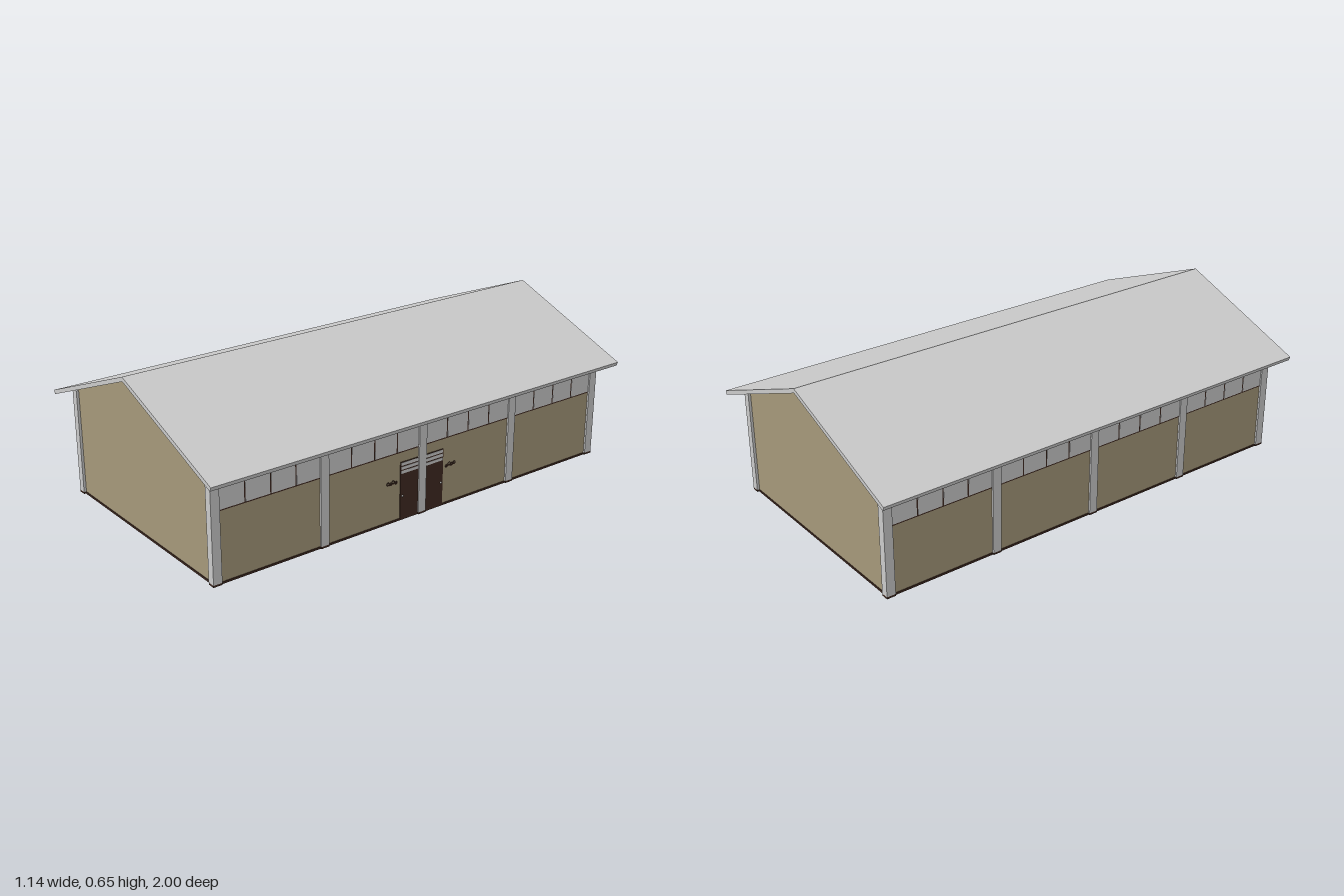
import * as THREE from 'three';

const mat = (name, color) => {
  const m = new THREE.MeshStandardMaterial({ color });
  m.name = name;
  return m;
};

export function createModel() {
  const model = new THREE.Group();
  model.name = 'hall';
  const wall = mat('tan wall', 0xa5987a);
  const grey = mat('light grey', 0xcbcbcb);
  const dark = mat('dark brown', 0x402a21);

  const add = (name, geo, material, x, y, z, parent = model) => {
    const mesh = new THREE.Mesh(geo, material);
    mesh.name = name;
    mesh.position.set(x, y, z);
    parent.add(mesh);
    return mesh;
  };
  // Box given by its centre in x and z, and its bottom and top in y
  const box = (name, material, x, z, y0, y1, w, d, parent) =>
    add(name, new THREE.BoxGeometry(w, y1 - y0, d), material, x, (y0 + y1) / 2, z, parent);
  // Outline in x and y, extruded along z about a centre
  const slab = (name, material, points, z, depth) => {
    const shape = new THREE.Shape(points.map(([x, y]) => new THREE.Vector2(x, y)));
    const geo = new THREE.ExtrudeGeometry(shape, { depth, bevelEnabled: false });
    return add(name, geo, material, 0, 0, z - depth / 2);
  };

  const wallX = 0.48, endZ = 0.939, base = 0.008, thick = 0.016;

  // Pitched roof with overhanging eaves
  slab('roof', grey, [
    [0, 0.648], [-0.572, 0.425], [-0.566, 0.409], [0, 0.63], [0.566, 0.409], [0.572, 0.425],
  ], 0, 2);

  // Gable walls and their base beams
  for (const s of [-1, 1]) {
    slab('gableWall', wall, [
      [-0.475, base], [0.475, base], [0.475, 0.446], [0, 0.632], [-0.475, 0.446],
    ], s * endZ, thick);
    box('baseBeam', dark, 0, s * endZ, 0, base, 0.93, 0.022);
  }

  // Window band of four panes, with dark frame and mullions
  const windowBand = (x, z) => {
    const group = new THREE.Group();
    group.name = 'windowBand';
    group.position.set(x, 0, z);
    model.add(group);
    const width = 0.437, pitch = width / 4;
    box('windowFrame', dark, 0, 0, 0.283, 0.376, 0.019, width, group);
    for (let i = 0; i < 4; i++) {
      box('pane', grey, 0, (i - 1.5) * pitch, 0.288, 0.371, 0.021, pitch - 0.006, group);
    }
  };

  // Long walls with columns, feet and windows
  for (const s of [-1, 1]) {
    const x = s * wallX;
    box('sideWall', wall, x, 0, base, 0.444, thick, 1.87);
    box('baseBeam', dark, x, 0, 0, base, 0.022, 1.87);
    for (const z of [-endZ, -0.469, 0, 0.469, endZ]) {
      box('column', grey, x, z, base, 0.443, 0.031, 0.037);
      box('columnFoot', dark, x, z, 0, base, 0.031, 0.037);
    }
    for (const z of [-0.704, -0.235, 0.235, 0.704]) windowBand(x, z);
  }

  // Pair of doors with transom lights, knobs and small wall ornaments
  for (const s of [-1, 1]) {
    const z = s * 0.062;
    box('door', dark, wallX, z, base, 0.243, 0.022, 0.092);
    for (let i = 0; i < 3; i++) {
      const y = 0.195 + i * 0.0165;
      box('transomLight', grey, wallX, z, y, y + 0.012, 0.024, 0.086);
    }
    add('knob', new THREE.SphereGeometry(0.004, 10, 8), grey, 0.493, 0.102, s * 0.098);

    // Scrolled iron ornament beside each door
    for (const [dz, dy, r] of [[0.128, 0.164, 0.005], [0.142, 0.17, 0.006],
      [0.154, 0.165, 0.006], [0.168, 0.168, 0.006]]) {
      const ring = add('ornamentScroll', new THREE.TorusGeometry(r, 0.0018, 6, 12), dark, 0.489, dy, s * dz);
      ring.rotation.y = Math.PI / 2;
    }
    box('ornamentBar', dark, 0.489, s * 0.148, 0.162, 0.166, 0.004, 0.044);
  }

  return model;
}
